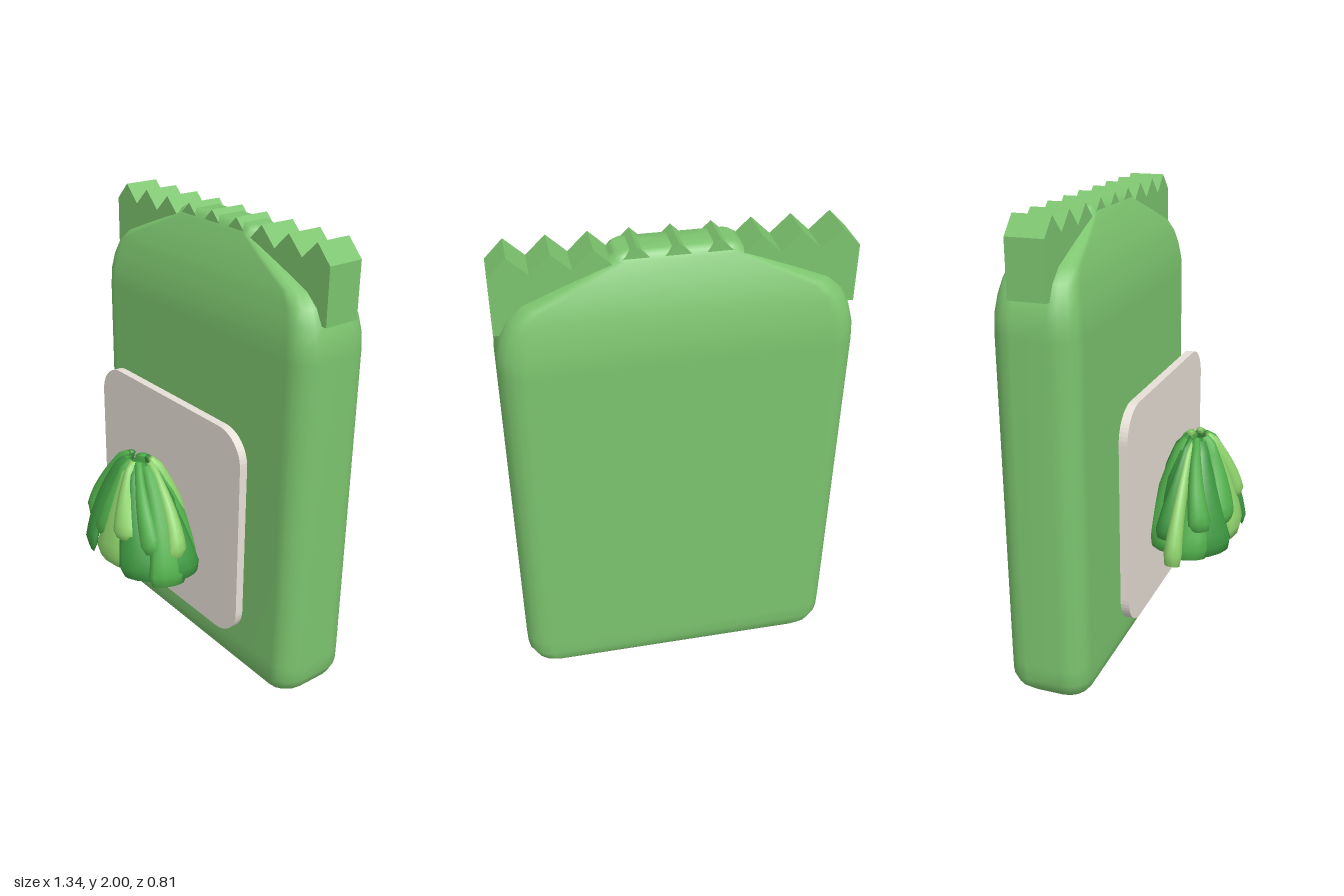
import * as THREE from 'three';

const material = (color) => new THREE.MeshStandardMaterial({ color });

// Closed smooth surface through rings of equal point count, with end caps
function loft(rings) {
  const n = rings[0].length, pos = [], index = [];
  rings.forEach((ring) => ring.forEach((p) => pos.push(p.x, p.y, p.z)));
  for (let r = 0; r < rings.length - 1; r++) {
    for (let i = 0; i < n; i++) {
      const a = r * n + i, b = r * n + (i + 1) % n;
      index.push(a, a + n, b, b, a + n, b + n);
    }
  }
  [0, rings.length - 1].forEach((r) => {
    const c = rings[r].reduce((s, p) => s.add(p), new THREE.Vector3()).divideScalar(n);
    const centre = pos.length / 3;
    pos.push(c.x, c.y, c.z);
    for (let i = 0; i < n; i++) {
      const a = r * n + i, b = r * n + (i + 1) % n;
      if (r === 0) index.push(centre, a, b);
      else index.push(centre, b, a);
    }
  });
  const g = new THREE.BufferGeometry();
  g.setAttribute('position', new THREE.Float32BufferAttribute(pos, 3));
  g.setIndex(index);
  g.computeVertexNormals();
  return g;
}

// Rounded rectangle in the horizontal plane
function roundedRing(y, hx, hz, cz) {
  const r = Math.min(0.1, hz * 0.58), pts = [];
  [[1, 1], [-1, 1], [-1, -1], [1, -1]].forEach(([sx, sz], q) => {
    for (let k = 0; k <= 4; k++) {
      const a = (q + k / 4) * Math.PI / 2;
      pts.push(new THREE.Vector3(
        sx * (hx - r) + r * Math.cos(a), y, cz + sz * (hz - r) + r * Math.sin(a)));
    }
  });
  return pts;
}

// Thick curved leaf hanging outward from the crown of the bunch
function leaf({ a, w, reach = 1, y0 = 0.57, y1 = 1.0, swirl = 0 }) {
  const steps = 10, sides = 10, path = [];
  for (let i = 0; i <= steps; i++) {
    const t = i / steps, k = 1 - Math.pow(t, 1.5);
    const ang = THREE.MathUtils.degToRad(a + swirl * t);
    path.push(new THREE.Vector3(
      -0.01 + Math.cos(ang) * (0.07 + 0.235 * k) * reach,
      y0 + (y1 - y0) * t,
      0.205 + Math.sin(ang) * (0.045 + 0.13 * k) * reach));
  }
  const rad = THREE.MathUtils.degToRad(a);
  const side = new THREE.Vector3(Math.sin(rad), 0, -Math.cos(rad));
  const rings = path.map((p, i) => {
    const t = i / steps;
    const tangent = path[Math.min(i + 1, steps)].clone().sub(path[Math.max(i - 1, 0)]).normalize();
    const out = new THREE.Vector3().crossVectors(side, tangent).normalize();
    const half = w * (i === 0 ? 0.8 : 1.05 - 0.72 * t);
    const thick = i === 0 || i === steps ? 0.012 : 0.028;
    return Array.from({ length: sides }, (_, j) => {
      const b = j / sides * Math.PI * 2, c = Math.cos(b);
      return p.clone()
        .addScaledVector(side, c * half)
        .addScaledVector(out, Math.sin(b) * thick - c * c * half * 0.22);
    });
  });
  return loft(rings);
}

export function createModel() {
  const model = new THREE.Group();
  const add = (name, geometry, mat, parent = model) => {
    const mesh = new THREE.Mesh(geometry, mat);
    mesh.name = name;
    parent.add(mesh);
    return mesh;
  };
  const green = material(0x7cc46e);
  const packZ = -0.235;

  // Pouch body: height, half width, half depth
  const profile = [
    [0, 0.57, 0.1], [0.02, 0.615, 0.14], [0.05, 0.648, 0.162], [0.1, 0.67, 0.175],
    [0.17, 0.672, 0.175], [1.56, 0.672, 0.175], [1.63, 0.668, 0.173], [1.7, 0.65, 0.163],
    [1.76, 0.62, 0.15], [1.81, 0.565, 0.137], [1.88, 0.4, 0.112], [1.945, 0.245, 0.083],
    [1.965, 0.235, 0.072], [1.98, 0.215, 0.058],
  ];
  add('pouchBody', loft(profile.map(([y, hx, hz]) => roundedRing(y, hx, hz, packZ))), green);

  // Zigzag sealed top edge
  const crest = new THREE.Shape();
  crest.moveTo(-0.67, 1.7);
  crest.lineTo(0.67, 1.7);
  crest.lineTo(0.67, 1.928);
  for (let i = 4; i >= -4; i--) {
    crest.lineTo(i * 0.15, 2);
    crest.lineTo(i === -4 ? -0.67 : i * 0.15 - 0.075, 1.928);
  }
  const crestGeometry = new THREE.ExtrudeGeometry(crest, { depth: 0.156, bevelEnabled: false });
  crestGeometry.translate(0, 0, packZ - 0.078);
  add('zigzagSeal', crestGeometry, green);

  // Rounded front label
  const x = 0.485, y0 = 0.305, y1 = 1.255, r = 0.135;
  const plate = new THREE.Shape();
  plate.absarc(x - r, y1 - r, r, 0, Math.PI / 2);
  plate.absarc(-x + r, y1 - r, r, Math.PI / 2, Math.PI);
  plate.absarc(-x + r, y0 + r, r, Math.PI, Math.PI * 1.5);
  plate.absarc(x - r, y0 + r, r, Math.PI * 1.5, Math.PI * 2);
  const plateGeometry = new THREE.ExtrudeGeometry(plate, { depth: 0.036, bevelEnabled: false, curveSegments: 6 });
  plateGeometry.translate(0, 0, 0.035);
  add('label', plateGeometry, material(0xe6dfd6));

  // Leafy bunch
  const bunch = new THREE.Group();
  bunch.name = 'leafBunch';
  model.add(bunch);
  const light = material(0x8fd46c), mid = material(0x52b14c), dark = material(0x3f9a42);

  const core = new THREE.LatheGeometry(
    [[0, 0.59], [0.22, 0.6], [0.22, 0.7], [0.17, 0.85], [0.1, 0.96], [0, 0.99]]
      .map(([px, py]) => new THREE.Vector2(px, py)), 16);
  core.scale(1.12, 1, 0.68);
  core.translate(-0.01, 0, 0.205);
  add('bunchCore', core, dark, bunch);

  const leaves = [
    // Broad outer leaves
    { a: 82, w: 0.14, reach: 1.0, y0: 0.575, mat: light },
    { a: 48, w: 0.105, reach: 1.03, y0: 0.56, swirl: 14, mat: dark },
    { a: 20, w: 0.085, reach: 1.03, y0: 0.55, swirl: -10, mat: mid },
    { a: -12, w: 0.08, reach: 1.02, y0: 0.57, swirl: 10, mat: dark },
    { a: -48, w: 0.1, reach: 0.98, y0: 0.57, swirl: -14, mat: mid },
    { a: -86, w: 0.13, reach: 1.03, y0: 0.58, mat: dark },
    { a: -128, w: 0.1, reach: 0.96, y0: 0.56, swirl: 14, mat: mid },
    { a: 180, w: 0.04, reach: 1.1, y0: 0.555, mat: light },
    { a: 158, w: 0.075, reach: 0.94, y0: 0.56, swirl: -12, mat: mid },
    { a: 128, w: 0.11, reach: 1.0, y0: 0.56, swirl: 12, mat: dark },
    // Narrow overlapping inner leaves
    { a: 68, w: 0.06, reach: 0.98, y0: 0.72, y1: 1.01, swirl: 8, mat: light },
    { a: 105, w: 0.075, reach: 0.92, y0: 0.66, y1: 1.01, swirl: -10, mat: mid },
    { a: 35, w: 0.05, reach: 0.92, y0: 0.68, y1: 1.01, swirl: 16, mat: mid },
    { a: 5, w: 0.045, reach: 0.96, y0: 0.67, y1: 1.01, swirl: -14, mat: light },
    { a: -68, w: 0.06, reach: 0.92, y0: 0.68, y1: 1.01, swirl: 10, mat: light },
    { a: -160, w: 0.05, reach: 0.95, y0: 0.64, y1: 1.01, swirl: -12, mat: dark },
    { a: 145, w: 0.05, reach: 0.94, y0: 0.68, y1: 1.015, swirl: 14, mat: mid },
  ];
  leaves.forEach((spec, i) => add('leaf' + (i + 1), leaf(spec), spec.mat, bunch));

  return model;
}
